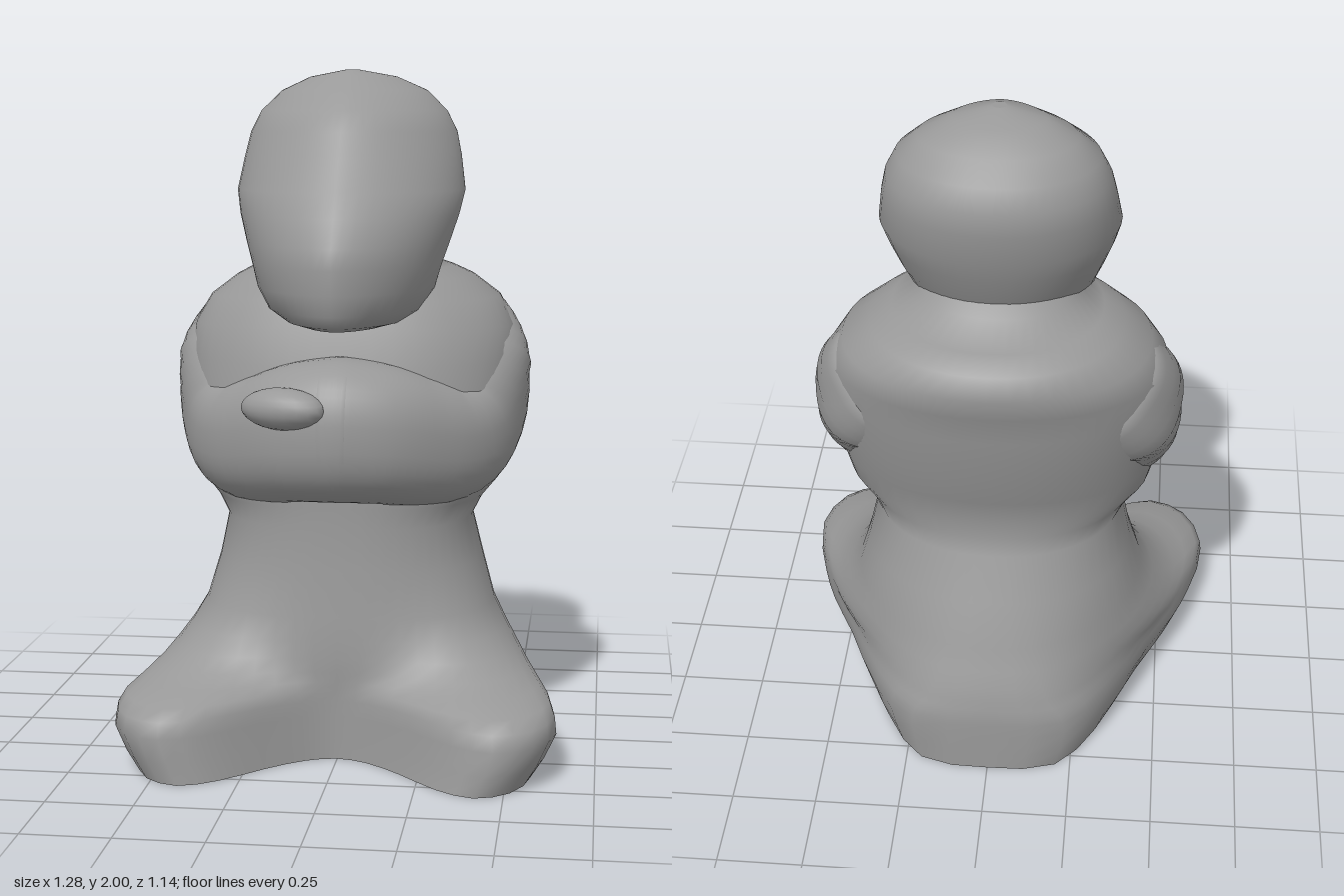
import * as THREE from 'three';

const SIDES = 48;
const material = new THREE.MeshStandardMaterial({ color: 0x999999, side: THREE.DoubleSide });

// Signed power, used to round or square an ellipse
const pow = (v, n) => Math.sign(v) * Math.abs(v) ** (2 / n);

// Skin a list of closed rings and cap both ends
function loft(rings, mirror = false) {
  const pos = [], index = [];
  const tri = (a, b, c) => (mirror ? index.push(a, c, b) : index.push(a, b, c));
  const add = p => pos.push(mirror ? -p.x : p.x, p.y, p.z);
  rings.forEach(ring => ring.forEach(add));
  for (let i = 0; i < rings.length - 1; i++) {
    for (let j = 0; j < SIDES; j++) {
      const a = i * SIDES + j, b = i * SIDES + (j + 1) % SIDES;
      tri(a, b, b + SIDES);
      tri(a, b + SIDES, a + SIDES);
    }
  }
  for (const end of [rings[0], rings[rings.length - 1]]) {
    const start = pos.length / 3;
    end.forEach(add);
    add(end.reduce((s, p) => s.add(p), new THREE.Vector3()).divideScalar(SIDES));
    for (let j = 0; j < SIDES; j++) {
      const k = (j + 1) % SIDES;
      if (end === rings[0]) tri(start + SIDES, start + k, start + j);
      else tri(start + SIDES, start + j, start + k);
    }
  }
  const geometry = new THREE.BufferGeometry();
  geometry.setAttribute('position', new THREE.Float32BufferAttribute(pos, 3));
  geometry.setIndex(index);
  geometry.computeVertexNormals();
  return geometry;
}

// Level ring from half width, front and back; exponents shape the two halves
function levelRing([y, w, front, back], centre, nFront, nBack) {
  const zc = back + (front - back) * centre;
  return Array.from({ length: SIDES }, (_, j) => {
    const a = (j / SIDES) * Math.PI * 2, s = -Math.sin(a);
    const n = s > 0 ? nFront : nBack;
    return new THREE.Vector3(w * pow(Math.cos(a), n), y, zc + pow(s, n) * (s > 0 ? front - zc : zc - back));
  });
}

// Footprint of seat and spread legs: left half from back to front, mirrored
function footprint() {
  const half = [
    [0, -0.57], [0.23, -0.54], [0.36, -0.38], [0.47, -0.14], [0.55, 0.02], [0.6, 0.16], [0.64, 0.37],
    [0.58, 0.52], [0.47, 0.575], [0.35, 0.52], [0.22, 0.4], [0.1, 0.31], [0, 0.28],
  ];
  const toSide = half.slice(0, 7).reverse();
  const right = half.slice(1, 12).map(([x, z]) => [-x, z]);
  const loop = [...toSide, ...right, ...half.slice(7).reverse()];
  const curve = new THREE.CatmullRomCurve3(loop.map(([x, z]) => new THREE.Vector3(x, 0, z)), true);
  return Array.from({ length: SIDES }, (_, j) => curve.getPoint(j / SIDES));
}

// Slightly boxy limb along a smooth path; stations are [x, y, z, radius]
function limbRings(stations, steps = 32) {
  const path = new THREE.CatmullRomCurve3(stations.map(s => new THREE.Vector3(s[0], s[1], s[2])));
  const last = stations.length - 1;
  return Array.from({ length: steps + 1 }, (_, i) => {
    const t = i / steps, k = Math.min(Math.floor(t * last), last - 1);
    const radius = THREE.MathUtils.lerp(stations[k][3], stations[k + 1][3], t * last - k);
    const c = path.getPoint(t), d = path.getTangent(t);
    const up = new THREE.Vector3(0, 1, 0).addScaledVector(d, -d.y).normalize();
    const side = up.clone().cross(d);
    return Array.from({ length: SIDES }, (_, j) => {
      const a = (j / SIDES) * Math.PI * 2;
      return c.clone()
        .addScaledVector(side, radius * pow(Math.cos(a), 2.4))
        .addScaledVector(up, radius * pow(Math.sin(a), 2.4));
    });
  });
}

export function createModel() {
  const model = new THREE.Group();
  model.name = 'seatedFigure';
  const add = (name, geometry) => {
    const mesh = new THREE.Mesh(geometry, material);
    mesh.name = name;
    model.add(mesh);
    return mesh;
  };

  // Body: [y, half width, front, back, share of footprint, footprint x scale]
  const body = [
    [0, 0.44, 0.28, -0.57, 1, 0.89], [0.06, 0.45, 0.28, -0.57, 1, 0.95], [0.13, 0.46, 0.28, -0.565, 1, 1],
    [0.175, 0.465, 0.285, -0.56, 0.97, 1], [0.205, 0.465, 0.29, -0.555, 0.88, 1],
    [0.23, 0.465, 0.29, -0.55, 0.68, 1], [0.26, 0.46, 0.29, -0.545, 0.49, 1],
    [0.3, 0.45, 0.29, -0.535, 0.34, 1], [0.35, 0.435, 0.285, -0.515, 0.21, 1],
    [0.42, 0.415, 0.28, -0.49, 0.1, 1], [0.55, 0.395, 0.265, -0.45, 0.02, 1],
    [0.68, 0.37, 0.26, -0.385, 0, 1], [0.74, 0.4, 0.26, -0.375, 0, 1],
    [0.8, 0.45, 0.26, -0.375, 0, 1], [0.88, 0.47, 0.26, -0.39, 0, 1],
    [1.0, 0.48, 0.25, -0.44, 0, 1], [1.15, 0.495, 0.22, -0.465, 0, 1],
    [1.25, 0.485, 0.19, -0.49, 0, 1], [1.33, 0.44, 0.16, -0.52, 0, 1],
    [1.39, 0.36, 0.13, -0.49, 0, 1], [1.42, 0.3, 0.11, -0.42, 0, 1],
    [1.45, 0.23, 0.1, -0.29, 0, 1], [1.6, 0.2, 0.1, -0.22, 0, 1],
  ];
  const base = footprint();
  add('bodyAndLegs', loft(body.map(row => {
    const [y, , , , share, scaleX] = row;
    return levelRing(row, 0.5, 2.3, 2.1).map((p, j) =>
      p.lerp(new THREE.Vector3(base[j].x * scaleX, y, base[j].z), share));
  })));

  // Head: round at the back, tapering forward to a low chin
  const head = [
    [1.262, 0.12, 0.33, -0.08], [1.275, 0.17, 0.375, -0.12], [1.31, 0.225, 0.4, -0.17],
    [1.37, 0.26, 0.41, -0.2], [1.44, 0.28, 0.412, -0.24], [1.5, 0.3, 0.405, -0.28],
    [1.58, 0.325, 0.36, -0.31], [1.65, 0.34, 0.31, -0.34], [1.75, 0.325, 0.235, -0.36],
    [1.82, 0.31, 0.19, -0.36], [1.88, 0.28, 0.145, -0.33], [1.94, 0.22, 0.05, -0.28],
    [1.98, 0.13, -0.01, -0.19], [2, 0.02, -0.06, -0.1],
  ];
  add('head', loft(head.map(r => levelRing(r, 0.45, 1.65, 2.1))));

  // Folded arms: shoulder, elbow, then forearm across the chest
  const arm = limbRings([
    [0.22, 1.28, -0.24, 0.02], [0.29, 1.21, -0.2, 0.18],
    [0.335, 1.1, -0.13, 0.2], [0.315, 0.96, -0.03, 0.19],
    [0.265, 0.92, 0.07, 0.185], [0.18, 0.935, 0.15, 0.195],
    [0.09, 0.96, 0.205, 0.205], [0, 0.97, 0.225, 0.21], [-0.04, 0.97, 0.225, 0.205],
  ]);
  add('leftArm', loft(arm));
  add('rightArm', loft(arm, true));

  // Fingertips standing proud of the folded arms
  const hand = add('hand', new THREE.SphereGeometry(1, 20, 12));
  hand.scale.set(0.13, 0.06, 0.07);
  hand.rotation.y = -0.35;
  hand.position.set(-0.14, 1.05, 0.385);
  return model;
}
